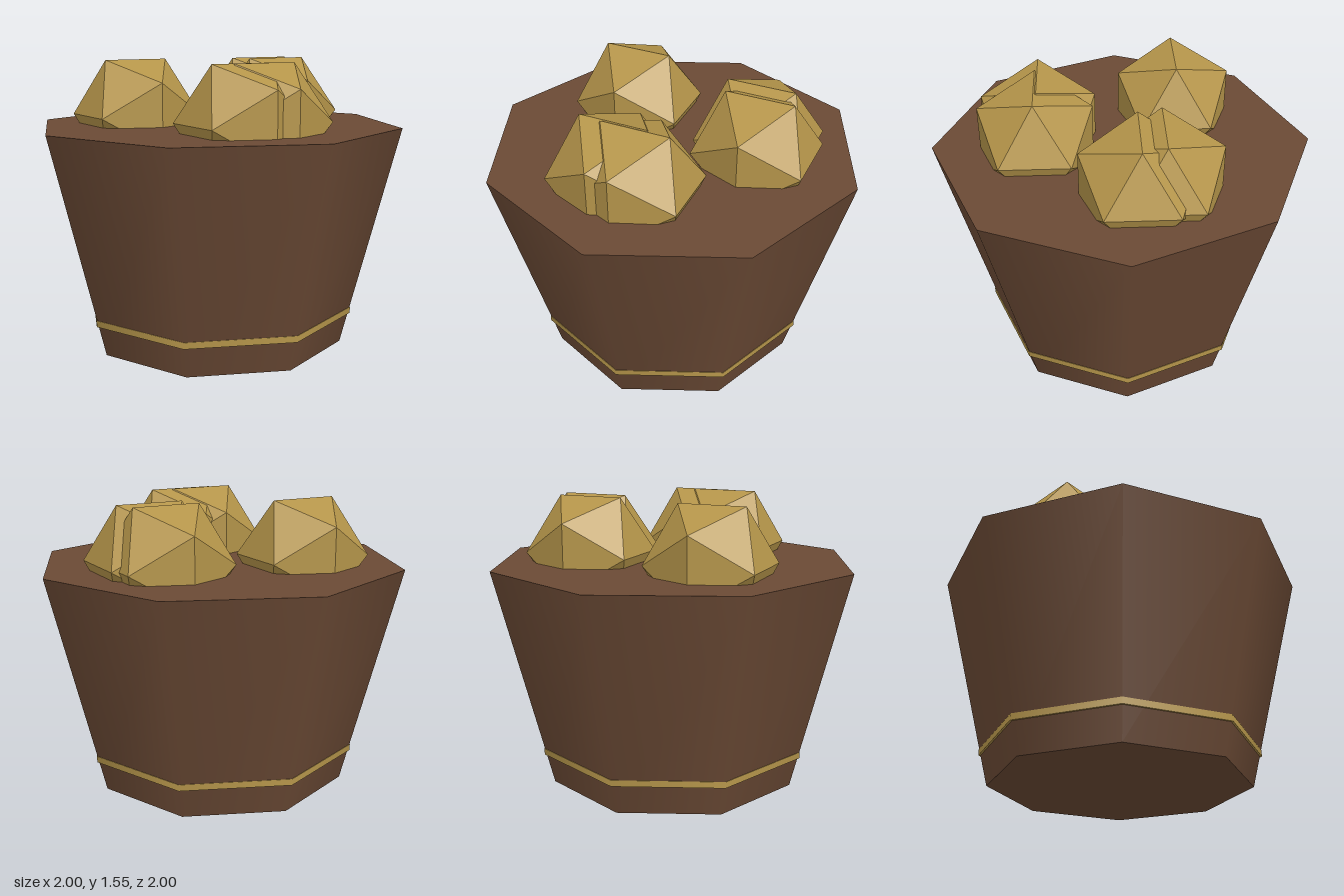
import * as THREE from 'three';

export function createModel() {
  const model = new THREE.Group();
  const brown = new THREE.MeshStandardMaterial({ color: 0x6b4a35 });
  const gold = new THREE.MeshStandardMaterial({ color: 0xb5954a });
  const goldFlat = new THREE.MeshStandardMaterial({ color: 0xb5954a, flatShading: true });

  const add = (name, geometry, material, x, y, z) => {
    const mesh = new THREE.Mesh(geometry, material);
    mesh.name = name;
    mesh.position.set(x, y, z);
    model.add(mesh);
  };

  // Eight-sided tapered tub, closed at both ends
  add('tub', new THREE.CylinderGeometry(1, 0.7, 1.2, 8), brown, 0, 0.6, 0);

  // Thin hoop round the lower wall
  add('hoop', new THREE.CylinderGeometry(0.753, 0.753, 0.034, 8), gold, 0, 0.184, 0);

  // Faceted nuggets half sunk in the top: [x, z]
  const nugget = new THREE.IcosahedronGeometry(0.35, 0);
  const spots = [[-0.343, -0.295], [0.407, -0.188], [0.442, -0.067], [-0.123, 0.433], [0, 0.447]];
  spots.forEach(([x, z], i) => add(`nugget${i + 1}`, nugget, goldFlat, x, 1.25, z));

  return model;
}
